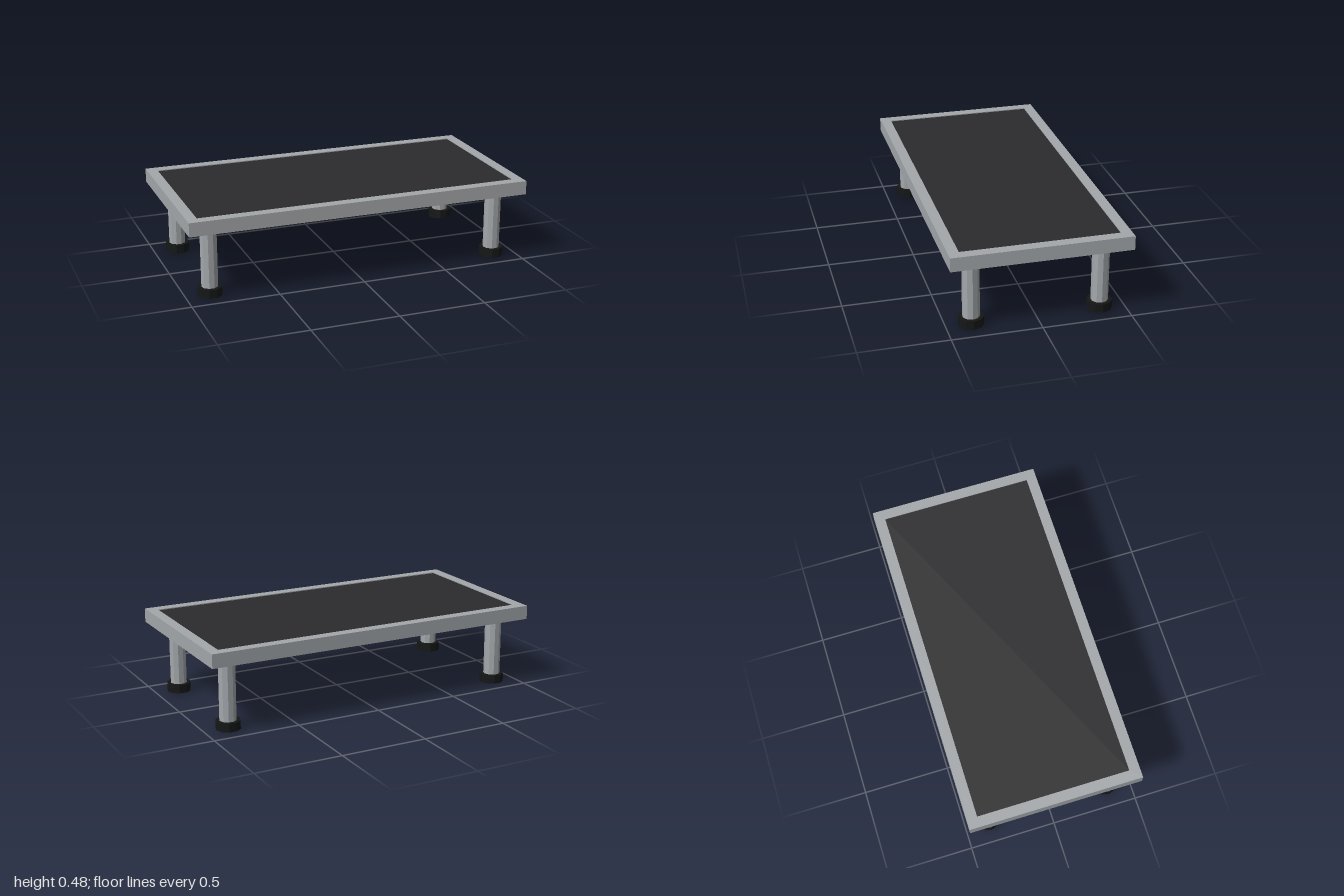
import * as THREE from 'three';

export function createModel() {
  const model = new THREE.Group();
  const metal = new THREE.MeshStandardMaterial({ color: 0xa4a8ab, flatShading: true });
  const dark = new THREE.MeshStandardMaterial({ color: 0x2b2b2d, flatShading: true });
  const rubber = new THREE.MeshStandardMaterial({ color: 0x151616, flatShading: true });

  const add = (parent, name, geometry, material, x, y, z) => {
    const mesh = new THREE.Mesh(geometry, material);
    mesh.name = name;
    mesh.position.set(x, y, z);
    parent.add(mesh);
    return mesh;
  };

  const rect = (target, w, d) => {
    target.moveTo(-w, -d);
    target.lineTo(w, -d);
    target.lineTo(w, d);
    target.lineTo(-w, d);
    target.closePath();
    return target;
  };

  // Rectangular rim around the top
  const outline = rect(new THREE.Shape(), 1, 0.5);
  outline.holes.push(rect(new THREE.Path(), 0.94, 0.44));
  const rim = new THREE.ExtrudeGeometry(outline, { depth: 0.08, bevelEnabled: false });
  rim.rotateX(-Math.PI / 2);
  add(model, 'topFrame', rim, metal, 0, 0.4, 0);

  // Dark inset panel, a hair below the rim on both faces
  add(model, 'topPanel', new THREE.BoxGeometry(1.88, 0.07, 0.88), dark, 0, 0.44, 0);

  // Ten-sided legs and feet, with a corner pointing along x
  const post = new THREE.CylinderGeometry(0.048, 0.048, 0.36, 10).rotateY(Math.PI / 2);
  const pad = new THREE.CylinderGeometry(0.07, 0.07, 0.05, 10).rotateY(Math.PI / 2);
  for (const [sx, side] of [[1, 'Left'], [-1, 'Right']]) {
    for (const [sz, end] of [[1, 'front'], [-1, 'back']]) {
      const leg = new THREE.Group();
      leg.name = `${end}${side}Leg`;
      leg.position.set(sx * 0.86, 0, sz * 0.36);
      add(leg, 'post', post, metal, 0, 0.23, 0);
      add(leg, 'foot', pad, rubber, 0, 0.025, 0);
      model.add(leg);
    }
  }
  return model;
}
